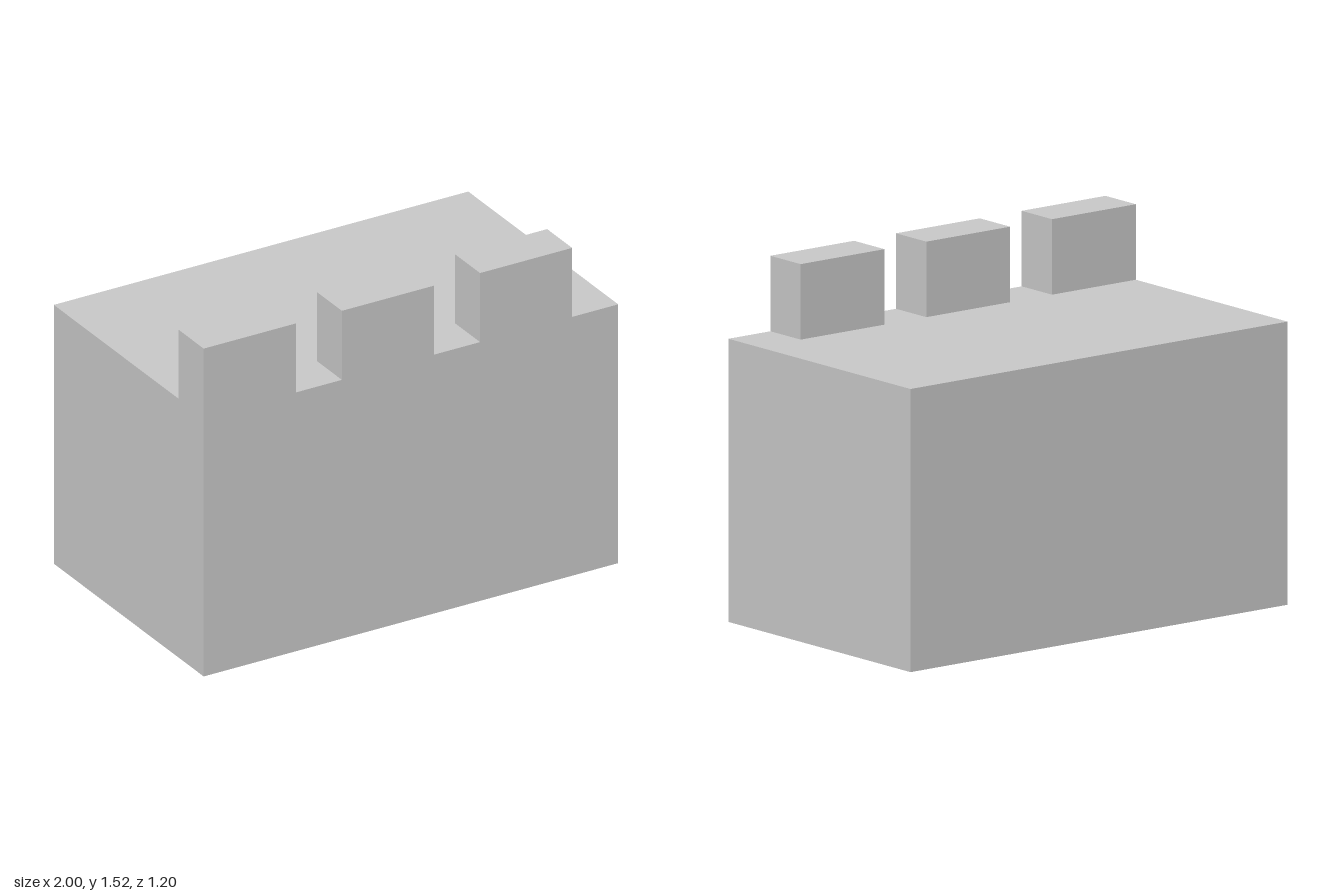
import * as THREE from 'three';

export function createModel() {
  const group = new THREE.Group();
  const material = new THREE.MeshStandardMaterial({ color: 0xcccccc, flatShading: true });

  const addBox = (name, size, position) => {
    const mesh = new THREE.Mesh(new THREE.BoxGeometry(...size), material);
    mesh.name = name;
    mesh.position.set(...position);
    group.add(mesh);
  };

  // Solid wall block
  const wallHeight = 1.2, wallDepth = 1.2;
  addBox('wallBlock', [2, wallHeight, wallDepth], [0, wallHeight / 2, 0]);

  // Merlons along the front edge, each followed by a gap half its width
  const width = 4 / 9, height = 0.32, depth = 0.2, pitch = 2 / 3;
  for (let i = 0; i < 3; i++) {
    addBox(`merlon${i + 1}`, [width, height, depth],
      [-1 + width / 2 + i * pitch, wallHeight + height / 2, wallDepth / 2 - depth / 2]);
  }

  return group;
}
